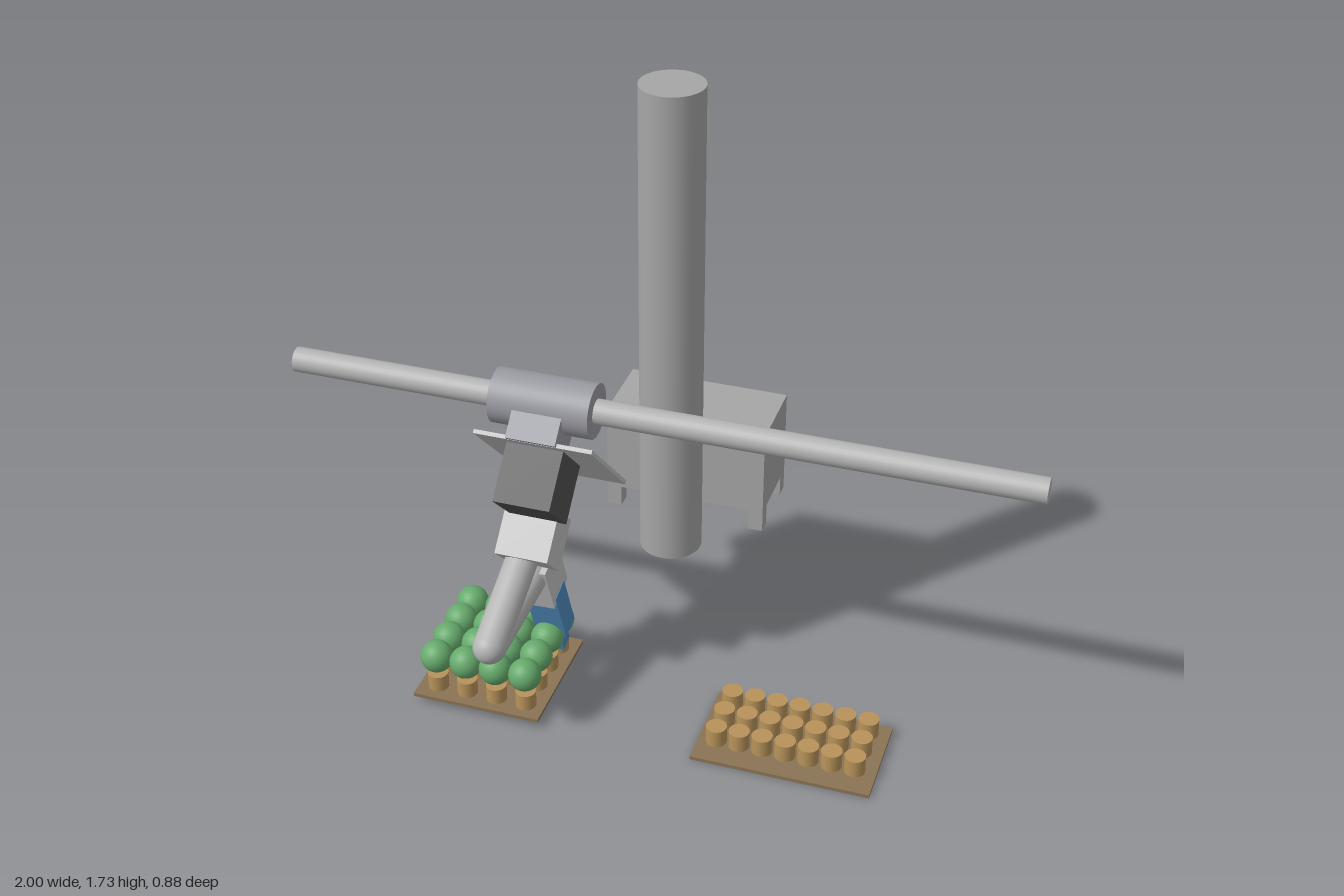
import * as THREE from 'three';

const mat = (name, color) => {
  const m = new THREE.MeshStandardMaterial({ color });
  m.name = name;
  return m;
};

export function createModel() {
  const root = new THREE.Group();
  root.name = 'harvestRobot';
  const steel = mat('steel grey', 0xa6a6a6);
  const rail = mat('rail grey', 0xb4b4b4);
  const housing = mat('housing grey', 0x9a9aa2);
  const light = mat('light grey', 0xc0c0c0);
  const dark = mat('dark grey', 0x505050);
  const blue = mat('gripper blue', 0x4f8abb);
  const brown = mat('tray brown', 0x8b7355);
  const tan = mat('pot tan', 0xb8935a);
  const green = mat('plant green', 0x66aa6c);

  const add = (name, geo, material, pos, rot = [0, 0, 0], parent = root) => {
    const m = new THREE.Mesh(geo, material);
    m.name = name;
    m.position.set(...pos);
    m.rotation.set(...rot);
    parent.add(m);
    return m;
  };
  const box = (name, size, material, pos, rot, parent) =>
    add(name, new THREE.BoxGeometry(...size), material, pos, rot, parent);
  const group = (name) => {
    const g = new THREE.Group();
    g.name = name;
    root.add(g);
    return g;
  };

  // Rounded limb between two points
  const limb = (name, a, b, r, material, parent) => {
    const p = new THREE.Vector3(...a), q = new THREE.Vector3(...b);
    const d = q.clone().sub(p);
    const m = add(name, new THREE.CapsuleGeometry(r, d.length(), 8, 24), material,
      p.clone().add(q).multiplyScalar(0.5).toArray(), [0, 0, 0], parent);
    m.quaternion.setFromUnitVectors(new THREE.Vector3(0, 1, 0), d.normalize());
  };

  // Column and horizontal rail
  add('column', new THREE.CylinderGeometry(0.083, 0.083, 1.33, 40), steel, [0, 1.067, -0.094]);
  add('rail', new THREE.CylinderGeometry(0.034, 0.034, 2, 28), rail, [0, 0.866, 0.042], [0, 0, Math.PI / 2]);

  // Control cabinet on four short feet
  const cabinet = group('cabinet');
  box('cabinetBody', [0.444, 0.245, 0.222], steel, [0, 0.583, -0.326], undefined, cabinet);
  for (const sx of [-1, 1]) for (const sz of [-1, 1]) {
    box('cabinetFoot', [0.04, 0.06, 0.04], steel, [sx * 0.202, 0.431, -0.326 + sz * 0.091], undefined, cabinet);
  }

  // Sliding carriage with the tilted arm base
  const arm = group('arm');
  const T = Math.PI / 4;
  add('carriage', new THREE.CylinderGeometry(0.074, 0.074, 0.273, 36), housing, [-0.293, 0.866, 0.042], [0, 0, T * 2], arm);
  box('neck', [0.135, 0.117, 0.09], housing, [-0.293, 0.813, 0.094], [T, 0, 0], arm);
  box('backPlate', [0.322, 0.365, 0.011], light, [-0.291, 0.688, 0.026], [T, 0, 0], arm);
  box('shoulder', [0.155, 0.167, 0.168], dark, [-0.293, 0.676, 0.127], [T, 0, 0], arm);
  box('upperArm', [0.147, 0.118, 0.14], light, [-0.311, 0.497, 0.126], [T, 0, 0], arm);

  // Bent elbow
  const elbow = [-0.333, 0.325, 0.396];
  limb('upperLimb', [-0.325, 0.465, 0.145], elbow, 0.044, rail, arm);
  limb('lowerLimb', elbow, [-0.31, 0.385, 0.13], 0.044, rail, arm);

  // Wrist and blue gripper
  const W = [0.29, 0, 0.05];
  box('wrist', [0.09, 0.148, 0.106], light, [-0.306, 0.352, 0.094], W, arm);
  box('gripper', [0.088, 0.167, 0.068], blue, [-0.297, 0.218, 0.057], W, arm);
  box('gripperTip', [0.055, 0.085, 0.046], blue, [-0.296, 0.108, 0.03], W, arm);

  // Tray holding rows of pots, optionally with a plant over each
  const tray = (name, x, y, z, w, d, cols, rows, stepX, stepZ, potY, potH, plants) => {
    const g = group(name);
    box('trayBoard', [w, 0.01, d], brown, [x, y, z], undefined, g);
    const potGeo = new THREE.CylinderGeometry(0.028, 0.028, potH, 20);
    const plantGeo = new THREE.SphereGeometry(0.045, 24, 16);
    for (let i = 0; i < cols; i++) for (let j = 0; j < rows; j++) {
      const px = x + (i - (cols - 1) / 2) * stepX;
      const pz = z + (j - (rows - 1) / 2) * stepZ;
      add('pot', potGeo, tan, [px, potY, pz], undefined, g);
      if (plants) add('plant', plantGeo, green, [px, 0.133, pz], undefined, g);
    }
  };
  tray('plantTray', -0.425, 0.026, 0.127, 0.36, 0.36, 4, 4, 0.085, 0.085, 0.054, 0.048, true);
  tray('potTray', 0.42, 0.005, 0.158, 0.484, 0.275, 7, 3, 0.0625, 0.076, 0.054, 0.05, false);

  return root;
}
